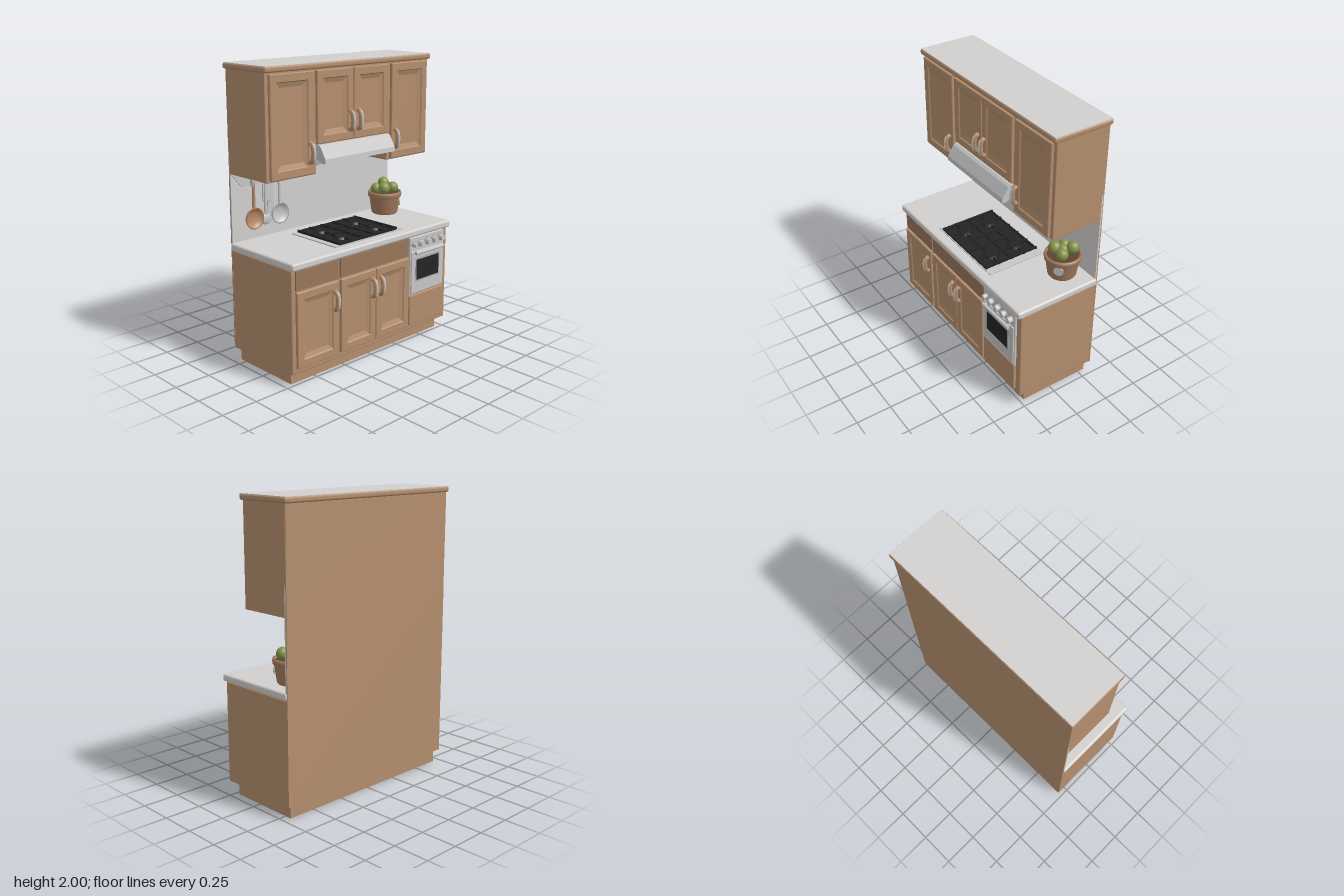
import * as THREE from 'three';
import { RoundedBoxGeometry } from 'three/addons/geometries/RoundedBoxGeometry.js';

const mat = (name, color, side = THREE.FrontSide) => {
  const m = new THREE.MeshStandardMaterial({ color, side });
  m.name = name;
  return m;
};

export function createModel() {
  const root = new THREE.Group();
  root.name = 'kitchenUnit';
  const wood = mat('wood', 0xb48e6e);
  const darkWood = mat('dark wood', 0x98765a);
  const stone = mat('pale worktop', 0xd2d0ce);
  const steel = mat('steel', 0xc6c6c6, THREE.DoubleSide);
  const shade = mat('shaded steel', 0xa9a7a6);
  const black = mat('black iron', 0x242424);
  const clay = mat('clay', 0xa67c60, THREE.DoubleSide);
  const soil = mat('soil', 0x5c4332);
  const green = mat('cactus green', 0x85934a);
  const spoonWood = mat('spoon wood', 0xb98a66, THREE.DoubleSide);

  const add = (name, geo, m, x = 0, y = 0, z = 0, parent = root) => {
    const mesh = new THREE.Mesh(geo, m);
    mesh.name = name;
    mesh.position.set(x, y, z);
    parent.add(mesh);
    return mesh;
  };
  // Box given by its limits, optionally with rounded edges
  const box = (name, m, x0, x1, y0, y1, z0, z1, r = 0) => {
    const s = [x1 - x0, y1 - y0, z1 - z0];
    const g = r ? new RoundedBoxGeometry(...s, 3, r) : new THREE.BoxGeometry(...s);
    return add(name, g, m, (x0 + x1) / 2, (y0 + y1) / 2, (z0 + z1) / 2);
  };

  // Framed door: nested rectangles stepping in to a sunken panel
  const door = (name, x0, x1, y0, y1, z, t = 0.025) => {
    const rings = [[0, -t], [0, -0.004], [0.004, 0], [0.05, 0], [0.056, -0.008], [0.085, -0.018]];
    const loops = rings.map(([i, d]) => [
      [x0 + i, y0 + i, z + d], [x1 - i, y0 + i, z + d], [x1 - i, y1 - i, z + d], [x0 + i, y1 - i, z + d]]);
    const p = [];
    const quad = (a, b, c, d) => p.push(...a, ...b, ...c, ...a, ...c, ...d);
    for (let k = 0; k < loops.length - 1; k++)
      for (let i = 0; i < 4; i++) {
        const j = (i + 1) % 4;
        quad(loops[k][i], loops[k][j], loops[k + 1][j], loops[k + 1][i]);
      }
    quad(...loops[loops.length - 1]);
    const g = new THREE.BufferGeometry();
    g.setAttribute('position', new THREE.Float32BufferAttribute(p, 3));
    g.computeVertexNormals();
    add(name, g, wood);
  };

  // Arched wooden handle with a pale inlay on its front
  const arch = (r) => new THREE.CatmullRomCurve3(
    [[-0.062, 0], [-0.05, 0.022], [0, 0.032], [0.05, 0.022], [0.062, 0]]
      .map(([y, z]) => new THREE.Vector3(0, y, z + r)));
  const handle = (x, y, z) => {
    const g = new THREE.Group();
    g.name = 'doorHandle';
    g.position.set(x, y, z);
    add('handleGrip', new THREE.TubeGeometry(arch(0), 20, 0.016, 10), wood, 0, 0, 0, g);
    add('handleInlay', new THREE.TubeGeometry(arch(0.009), 20, 0.0095, 8), steel, 0, 0, 0, g);
    root.add(g);
  };

  // Base cabinet
  box('plinth', wood, -0.695, 0.695, 0, 0.09, -0.3, 0.22);
  box('baseCabinet', wood, -0.73, 0.73, 0.09, 0.78, -0.32, 0.28, 0.008);
  box('worktop', stone, -0.74, 0.74, 0.78, 0.83, -0.322, 0.308, 0.015);
  box('leftDrawer', darkWood, -0.7, -0.345, 0.645, 0.772, 0.27, 0.29);
  box('middleDrawer', darkWood, -0.325, 0.32, 0.645, 0.772, 0.27, 0.29);
  for (const [a, b] of [[-0.7, -0.35], [-0.328, -0.01], [-0.005, 0.318]]) door('baseDoor', a, b, 0.13, 0.635, 0.302);
  box('ovenDrawer', wood, 0.33, 0.685, 0.13, 0.35, 0.27, 0.3, 0.006);
  for (const x of [-0.385, -0.042, 0.03]) handle(x, 0.51, 0.3);

  // Oven
  box('ovenBody', steel, 0.33, 0.685, 0.355, 0.772, 0.25, 0.295, 0.006);
  box('ovenDoor', steel, 0.338, 0.677, 0.362, 0.672, 0.28, 0.305, 0.008);
  box('ovenWindowFrame', shade, 0.375, 0.63, 0.45, 0.62, 0.3, 0.307);
  box('ovenWindow', black, 0.387, 0.618, 0.462, 0.608, 0.303, 0.31);
  const bar = add('ovenHandle', new THREE.CylinderGeometry(0.012, 0.012, 0.29, 12), steel, 0.505, 0.663, 0.322);
  bar.rotation.z = Math.PI / 2;
  for (const x of [0.38, 0.63]) box('ovenHandlePost', steel, x - 0.008, x + 0.008, 0.655, 0.671, 0.29, 0.322);
  for (const x of [0.365, 0.43, 0.505, 0.575, 0.645]) {
    const r = x === 0.365 ? 0.018 : 0.024;
    add('ovenKnob', new THREE.CylinderGeometry(r * 0.85, r, 0.034, 16), steel, x, 0.722, 0.31).rotation.x = Math.PI / 2;
    add('knobRing', new THREE.CylinderGeometry(r + 0.004, r + 0.004, 0.006, 16), shade, x, 0.722, 0.297).rotation.x = Math.PI / 2;
  }

  // Hob with iron grates
  box('hobPlate', steel, -0.318, 0.318, 0.828, 0.837, -0.2, 0.235);
  box('hobSurface', black, -0.275, 0.255, 0.835, 0.842, -0.175, 0.228);
  for (let i = 0; i <= 5; i++) box('grateBar', black, -0.281 + i * 0.106, -0.269 + i * 0.106, 0.842, 0.856, -0.185, 0.232);
  for (let i = 0; i <= 4; i++) {
    const z = -0.175 + i * 0.1;
    box('grateCrossBar', black, -0.285, 0.265, 0.842, 0.854, z - 0.005, z + 0.005);
  }
  for (const x of [-0.17, 0.15]) for (const z of [-0.075, 0.12])
    add('burner', new THREE.CylinderGeometry(0.04, 0.05, 0.018, 20), black, x, 0.849, z);

  // Wall panel
  box('backPanel', wood, -0.73, 0.73, 0.09, 1.3, -0.325, -0.317);
  box('backsplash', stone, -0.73, 0.73, 0.82, 1.48, -0.318, -0.308);

  // Wall cabinets: tall sides and a shorter middle
  box('leftWallCabinet', wood, -0.73, -0.325, 1.29, 1.965, -0.322, 0.062, 0.005);
  box('rightWallCabinet', wood, 0.325, 0.73, 1.29, 1.965, -0.322, 0.062, 0.005);
  box('middleWallCabinet', wood, -0.33, 0.33, 1.475, 1.965, -0.322, 0.062);
  box('wallCabinetBack', wood, -0.728, 0.728, 1.29, 1.965, -0.325, -0.317);
  box('cornice', wood, -0.742, 0.742, 1.96, 1.999, -0.342, 0.086, 0.014);
  box('corniceTop', stone, -0.736, 0.736, 1.996, 2, -0.336, 0.08);
  door('leftWallDoor', -0.705, -0.352, 1.3, 1.95, 0.083);
  door('rightWallDoor', 0.352, 0.705, 1.3, 1.95, 0.083);
  door('middleWallDoor', -0.326, -0.008, 1.485, 1.95, 0.083);
  door('middleWallDoor', -0.003, 0.322, 1.485, 1.95, 0.083);
  for (const [x, y] of [[-0.39, 1.44], [-0.042, 1.61], [0.03, 1.61], [0.383, 1.44]]) handle(x, y, 0.083);

  // Extractor hood: side profile drawn as (z, y), then run along x
  const hood = new THREE.Shape([[-0.308, 1.475], [0.085, 1.478], [0.102, 1.465], [0.144, 1.395], [0.148, 1.365],
    [0.125, 1.36], [0.06, 1.385], [-0.308, 1.385]].map(([z, y]) => new THREE.Vector2(z, y)));
  const hoodGeo = new THREE.ExtrudeGeometry(hood, { depth: 0.64, bevelEnabled: false });
  hoodGeo.rotateY(-Math.PI / 2);
  add('hood', hoodGeo, steel, 0.32);
  // Wall plate under the hood, running out to the utensil rail
  const plate = (pts, depth) => new THREE.ExtrudeGeometry(
    new THREE.Shape(pts.map(([x, y]) => new THREE.Vector2(x, y))), { depth, bevelEnabled: false });
  add('hoodWallPlate', plate([[-0.32, 1.2], [-0.28, 1.2], [0.32, 1.285], [0.32, 1.4], [-0.32, 1.4]], 0.006), shade, 0, 0, -0.308);
  add('railPlate', plate([[-0.725, 1.285], [-0.65, 1.195], [-0.28, 1.195], [-0.32, 1.285]], 0.008), steel, 0, 0, -0.308);

  // Hanging utensils
  const bowl = new THREE.LatheGeometry([[0, -0.02], [0.035, -0.017], [0.058, -0.006], [0.064, 0.006], [0.074, 0.006], [0.066, -0.012]]
    .map(([r, y]) => new THREE.Vector2(r, y)), 28);
  bowl.rotateX(Math.PI / 2);
  const stick = (name, m, x, y0, y1, r = 0.012) =>
    add(name, new THREE.CylinderGeometry(r * 0.8, r, y1 - y0, 10), m, x, (y0 + y1) / 2, -0.28);
  for (const [x, m] of [[-0.57, spoonWood], [-0.353, steel]]) {
    add('ladleBowl', bowl, m, x, 0.974, -0.275);
    stick('ladleHandle', m, x, 1.035, 1.22);
    box('utensilHook', steel, x - 0.012, x + 0.012, 1.19, 1.235, -0.3, -0.272, 0.004);
  }
  stick('spoonHandle', steel, -0.475, 0.97, 1.2, 0.009);
  add('spoonBowl', new THREE.SphereGeometry(0.038, 20, 12), steel, -0.472, 0.952, -0.28).scale.z = 0.35;
  box('spatulaHandle', steel, -0.49, -0.405, 1.07, 1.195, -0.295, -0.283, 0.004);
  box('spatulaBlade', steel, -0.445, -0.395, 0.91, 1.08, -0.298, -0.29);
  box('utensilHook', steel, -0.48, -0.42, 1.19, 1.235, -0.3, -0.272, 0.004);

  // Potted cactus
  const pot = new THREE.Group();
  pot.name = 'pottedCactus';
  pot.position.set(0.555, 0.83, -0.17);
  root.add(pot);
  const profile = [[0, 0], [0.088, 0], [0.096, 0.01], [0.112, 0.12], [0.121, 0.128], [0.124, 0.15], [0.12, 0.164], [0.108, 0.164], [0.105, 0.14]];
  add('pot', new THREE.LatheGeometry(profile.map(([r, y]) => new THREE.Vector2(r, y)), 32), clay, 0, 0, 0, pot);
  add('soil', new THREE.CylinderGeometry(0.106, 0.104, 0.01, 28), soil, 0, 0.145, 0, pot);
  const badge = add('potBadge', new THREE.CylinderGeometry(0.033, 0.033, 0.008, 20), steel, 0.07, 0.092, 0.085, pot);
  badge.rotation.set(Math.PI / 2, 0, -0.69);
  for (const [x, y, z, r] of [[-0.043, 0.195, 0.035, 0.043], [0.042, 0.19, 0.04, 0.04], [0.038, 0.21, -0.05, 0.042],
    [-0.045, 0.18, -0.045, 0.04], [0, 0.185, 0, 0.04]])
    add('cactusBud', new THREE.SphereGeometry(r, 18, 14), green, x, y, z, pot).scale.y = 1.05;

  return root;
}
